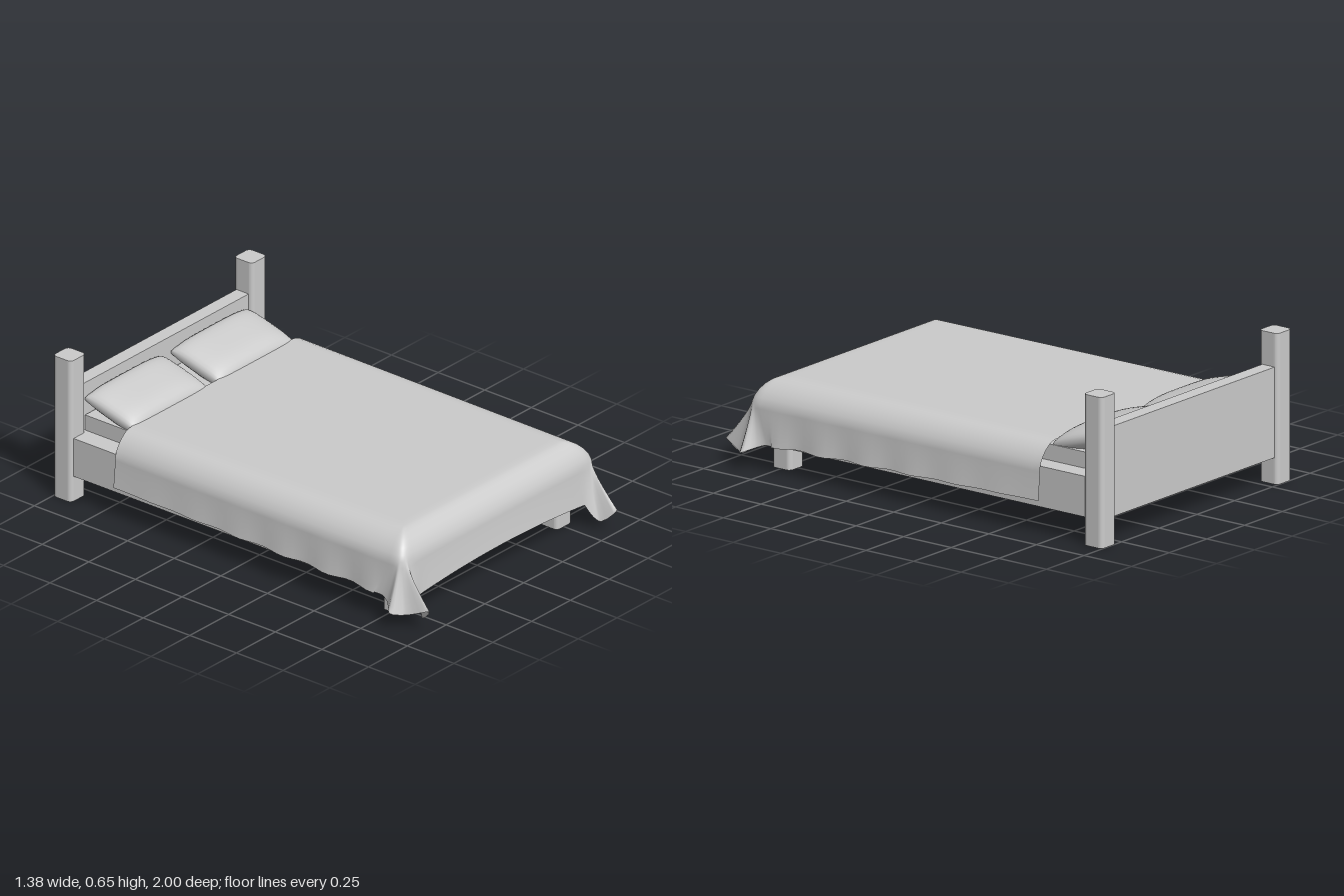
import * as THREE from 'three';
import { mergeVertices } from 'three/addons/utils/BufferGeometryUtils.js';

const material = new THREE.MeshStandardMaterial({ color: 0xcccccc });
const clothMaterial = new THREE.MeshStandardMaterial({ color: 0xcccccc, side: THREE.DoubleSide });

function box(name, x0, x1, y0, y1, z0, z1) {
  const mesh = new THREE.Mesh(new THREE.BoxGeometry(x1 - x0, y1 - y0, z1 - z0), material);
  mesh.position.set((x0 + x1) / 2, (y0 + y1) / 2, (z0 + z1) / 2);
  mesh.name = name;
  return mesh;
}

// Square timber with rounded vertical edges
function post(name, x, z, height) {
  const h = 0.049, r = 0.02;
  const s = new THREE.Shape();
  s.absarc(h - r, h - r, r, 0, Math.PI / 2);
  s.absarc(r - h, h - r, r, Math.PI / 2, Math.PI);
  s.absarc(r - h, r - h, r, Math.PI, Math.PI * 1.5);
  s.absarc(h - r, r - h, r, Math.PI * 1.5, Math.PI * 2);
  const geo = new THREE.ExtrudeGeometry(s, { depth: height, bevelEnabled: false, curveSegments: 5 });
  geo.rotateX(-Math.PI / 2);
  const mesh = new THREE.Mesh(geo, material);
  mesh.position.set(x, 0, z);
  mesh.name = name;
  return mesh;
}

// Puffed cushion: a fine box whose thickness fades to the rim, leaning on the headboard
function pillow(name, x) {
  const a = 0.245, b = 0.13, h = 0.053;
  let geo = new THREE.BoxGeometry(2, 2, 2, 20, 1, 16);
  geo.deleteAttribute('uv');
  geo.deleteAttribute('normal');
  geo = mergeVertices(geo);
  const p = geo.attributes.position;
  for (let i = 0; i < p.count; i++) {
    const u = Math.sin(p.getX(i) * Math.PI / 2), v = Math.sin(p.getZ(i) * Math.PI / 2);
    const puff = Math.sqrt(Math.max(0, (1 - u ** 4) * (1 - v ** 4)));
    p.setXYZ(i,
      a * u * (1 - 0.04 * v * v * (1 - u * u)),
      p.getY(i) * (0.006 + h * puff) - 0.035 * v,
      b * v * (1 - 0.04 * u * u * (1 - v * v)));
  }
  geo.computeVertexNormals();
  const mesh = new THREE.Mesh(geo, material);
  mesh.position.set(x, 0.398, -0.788);
  mesh.name = name;
  return mesh;
}

// Draped cloth: columns run from the middle of the top over the shoulder to the hem
function blanket() {
  const TOP = 0.385, IX = 0.5, IZ = 0.77, OX = 0.125, OZ = 0.1;
  const V = (x, y, z) => new THREE.Vector3(x, y, z);
  const half = []; // one side, foot centre to head end: { inner, shoulder, hem }

  // Foot end
  for (let i = 0; i <= 10; i++) {
    const f = i / 10, x = IX * f;
    half.push({
      inner: V(x, TOP, IZ), shoulder: V(x, 0.285, IZ + OZ),
      hem: V(x * 1.06, 0.142 - 0.027 * f * f, 0.885),
    });
  }
  // Corner, where the spare cloth hangs as a folded ear
  const ear = new THREE.CatmullRomCurve3([
    V(0.53, 0.115, 0.885), V(0.555, 0.06, 0.91), V(0.575, 0.038, 0.935), V(0.605, 0.1, 0.998),
    V(0.625, 0.075, 0.93), V(0.645, 0.065, 0.89), V(0.692, 0.08, 0.855),
    V(0.65, 0.1, 0.81), V(0.635, 0.115, 0.77), V(0.638, 0.118, 0.73),
  ], false, 'centripetal');
  for (let i = 1; i <= 27; i++) {
    const f = i / 27, ang = f * Math.PI / 2;
    half.push({
      inner: V(IX, TOP, IZ),
      shoulder: V(IX + OX * Math.sin(ang) ** 0.4, 0.285, IZ + OZ * Math.max(0, Math.cos(ang)) ** 0.4),
      hem: ear.getPoint(f),
    });
  }
  // Long side with a slightly wavy hem
  for (let i = 1; i <= 36; i++) {
    const f = i / 36, z = IZ + (-0.67 - IZ) * f;
    const wave = Math.sin(f * 38) * (1 - f);
    half.push({
      inner: V(IX + 0.02 * f, TOP, z), shoulder: V(IX + OX, 0.285, z),
      hem: V(0.637 + 0.008 * wave, 0.118 + 0.028 * f - 0.004 * wave, Math.min(z, 0.73 - f * 0.04 > z ? z : 0.73)),
    });
  }

  const bend = [[0, 0], [0.2, 0.04], [0.4, 0.13], [0.6, 0.29], [0.78, 0.5], [0.92, 0.75], [1, 1]];
  const column = ({ inner, shoulder, hem }) => {
    const pts = [V(0, TOP, Math.min(inner.z, 0.6)), V(inner.x * 0.94, TOP, Math.min(inner.z, inner.z > 0.74 ? 0.74 : 1))];
    for (const [o, d] of bend) {
      const q = inner.clone().lerp(shoulder, o);
      q.y = TOP + (shoulder.y - TOP) * d;
      pts.push(q);
    }
    for (let k = 1; k <= 8; k++) {
      const t = k / 8, q = shoulder.clone().lerp(hem, t ** 1.25);
      q.y = shoulder.y + (hem.y - shoulder.y) * t;
      pts.push(q);
    }
    return pts;
  };

  const right = half.map(column);
  const left = right.slice(1).reverse().map(c => c.map(q => V(-q.x, q.y, q.z)));
  const columns = [...left, ...right];
  const rows = columns[0].length, pos = [], idx = [];
  columns.forEach((c, i) => {
    c.forEach(q => pos.push(q.x, q.y, q.z));
    if (i === 0) return;
    for (let j = 0; j < rows - 1; j++) {
      const a = (i - 1) * rows + j, b = i * rows + j;
      idx.push(a, a + 1, b, b, a + 1, b + 1);
    }
  });
  const geo = new THREE.BufferGeometry();
  geo.setAttribute('position', new THREE.Float32BufferAttribute(pos, 3));
  geo.setIndex(idx);
  const merged = mergeVertices(geo);
  merged.computeVertexNormals();
  const mesh = new THREE.Mesh(merged, clothMaterial);
  mesh.name = 'blanket';
  return mesh;
}

export function createModel() {
  const bed = new THREE.Group();
  bed.name = 'bed';

  // Timber frame
  bed.add(box('headboard', -0.56, 0.56, 0.115, 0.505, -0.985, -0.92));
  bed.add(box('bedBase', -0.615, 0.615, 0.115, 0.29, -0.92, 0.83));
  for (const [side, s] of [['left', 1], ['right', -1]]) {
    bed.add(post(side + 'HeadPost', s * 0.583, -0.951, 0.65));
    bed.add(post(side + 'FrontFoot', s * 0.505, 0.75, 0.12));
    bed.add(pillow(side + 'Pillow', s * 0.277));
  }

  // Bedding
  bed.add(box('mattress', -0.525, 0.525, 0.28, 0.36, -0.915, 0.78));
  bed.add(blanket());
  return bed;
}
